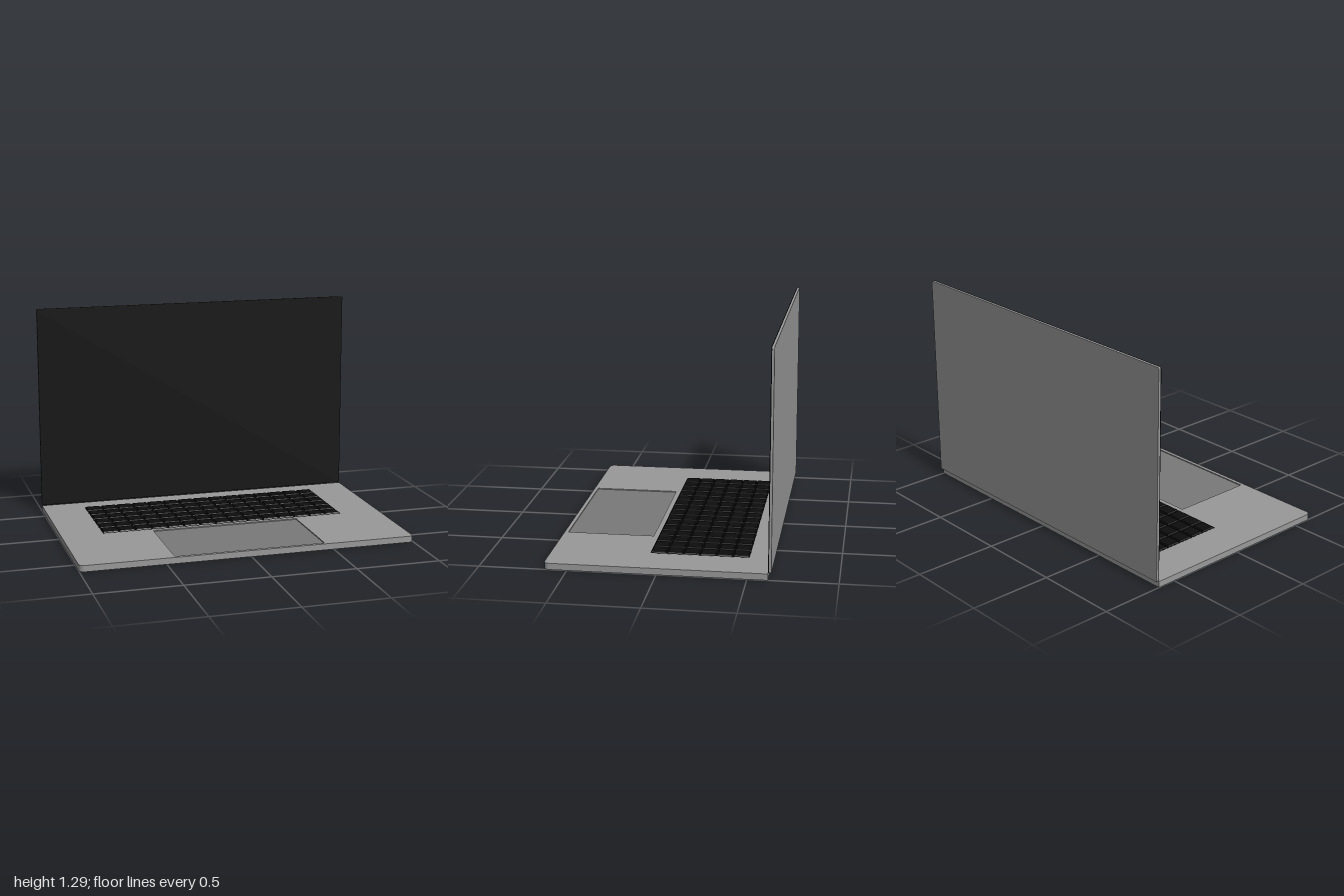
import * as THREE from 'three';

const BASE_TOP = 0.037, FLOOR = 0.03;
const paint = color => new THREE.MeshStandardMaterial({ color });
const metal = paint(0x999999), padGrey = paint(0x7a7a7a), black = paint(0x0d0d0d);

function add(parent, name, geometry, material, x = 0, y = 0, z = 0) {
  const mesh = new THREE.Mesh(geometry, material);
  mesh.name = name;
  mesh.position.set(x, y, z);
  parent.add(mesh);
  return mesh;
}

// Rectangle with its own radius for the low-v and high-v corners
function roundedRect(u0, u1, v0, v1, rLow, rHigh) {
  const s = new THREE.Shape();
  s.moveTo(u0 + rLow, v0);
  s.lineTo(u1 - rLow, v0);
  if (rLow) s.absarc(u1 - rLow, v0 + rLow, rLow, -Math.PI / 2, 0);
  s.lineTo(u1, v1 - rHigh);
  if (rHigh) s.absarc(u1 - rHigh, v1 - rHigh, rHigh, 0, Math.PI / 2);
  s.lineTo(u0 + rHigh, v1);
  if (rHigh) s.absarc(u0 + rHigh, v1 - rHigh, rHigh, Math.PI / 2, Math.PI);
  s.lineTo(u0, v0 + rLow);
  if (rLow) s.absarc(u0 + rLow, v0 + rLow, rLow, Math.PI, Math.PI * 1.5);
  return s;
}

const extrude = (shape, depth) =>
  new THREE.ExtrudeGeometry(shape, { depth, bevelEnabled: false, curveSegments: 6 });

// Flat slab: shape v axis becomes -z, extrusion becomes +y
const slab = (shape, depth) => extrude(shape, depth).rotateX(-Math.PI / 2);

// Key cap: a box whose top is drawn in on all sides
function keyGeometry(w, h, d, inset) {
  const g = new THREE.BoxGeometry(w, h, d).toNonIndexed();
  const p = g.attributes.position;
  for (let i = 0; i < p.count; i++) {
    if (p.getY(i) > 0) {
      p.setX(i, p.getX(i) - Math.sign(p.getX(i)) * inset);
      p.setZ(i, p.getZ(i) - Math.sign(p.getZ(i)) * inset);
    }
  }
  g.computeVertexNormals();
  return g;
}

export function createModel() {
  const model = new THREE.Group();
  model.name = 'laptop';

  // Base: solid lower slab and a deck with the trackpad cut out, front corners rounded
  const outline = () => roundedRect(-1, 1, -0.632, 0.615, 0.03, 0);
  add(model, 'baseBottom', slab(outline(), FLOOR), metal);
  const deck = outline();
  deck.holes.push(roundedRect(-0.45, 0.45, -0.61, -0.1, 0, 0));
  add(model, 'baseDeck', slab(deck, BASE_TOP - FLOOR), metal, 0, FLOOR, 0);

  // Trackpad sunk into the deck
  add(model, 'trackpad', new THREE.BoxGeometry(0.9, 0.002, 0.51), padGrey, 0, FLOOR, 0.355);

  // Keyboard: plate with six rows of fifteen keys
  const keyboard = new THREE.Group();
  keyboard.name = 'keyboard';
  model.add(keyboard);
  const cols = 15, rows = 6, pitchX = 0.1, pitchZ = 0.0937, midZ = -0.21;
  add(keyboard, 'keyboardPlate', new THREE.BoxGeometry(cols * pitchX, 0.004, rows * pitchZ),
    black, 0, BASE_TOP - 0.001, midZ);
  const key = keyGeometry(pitchX - 0.005, 0.009, pitchZ - 0.004, 0.006);
  for (let r = 0; r < rows; r++) {
    for (let c = 0; c < cols; c++) {
      add(keyboard, 'key', key, black,
        (c - (cols - 1) / 2) * pitchX, BASE_TOP + 0.0035, midZ + (r - (rows - 1) / 2) * pitchZ);
    }
  }

  // Upright lid: metal back shell and black display panel in front
  const lid = new THREE.Group();
  lid.name = 'lid';
  model.add(lid);
  const lidShape = () => roundedRect(-1, 1, 0.04, 1.29, 0.008, 0.008);
  add(lid, 'lidShell', extrude(lidShape(), 0.013), metal, 0, 0, -0.633);
  add(lid, 'displayPanel', extrude(lidShape(), 0.005), black, 0, 0, -0.62);

  return model;
}
